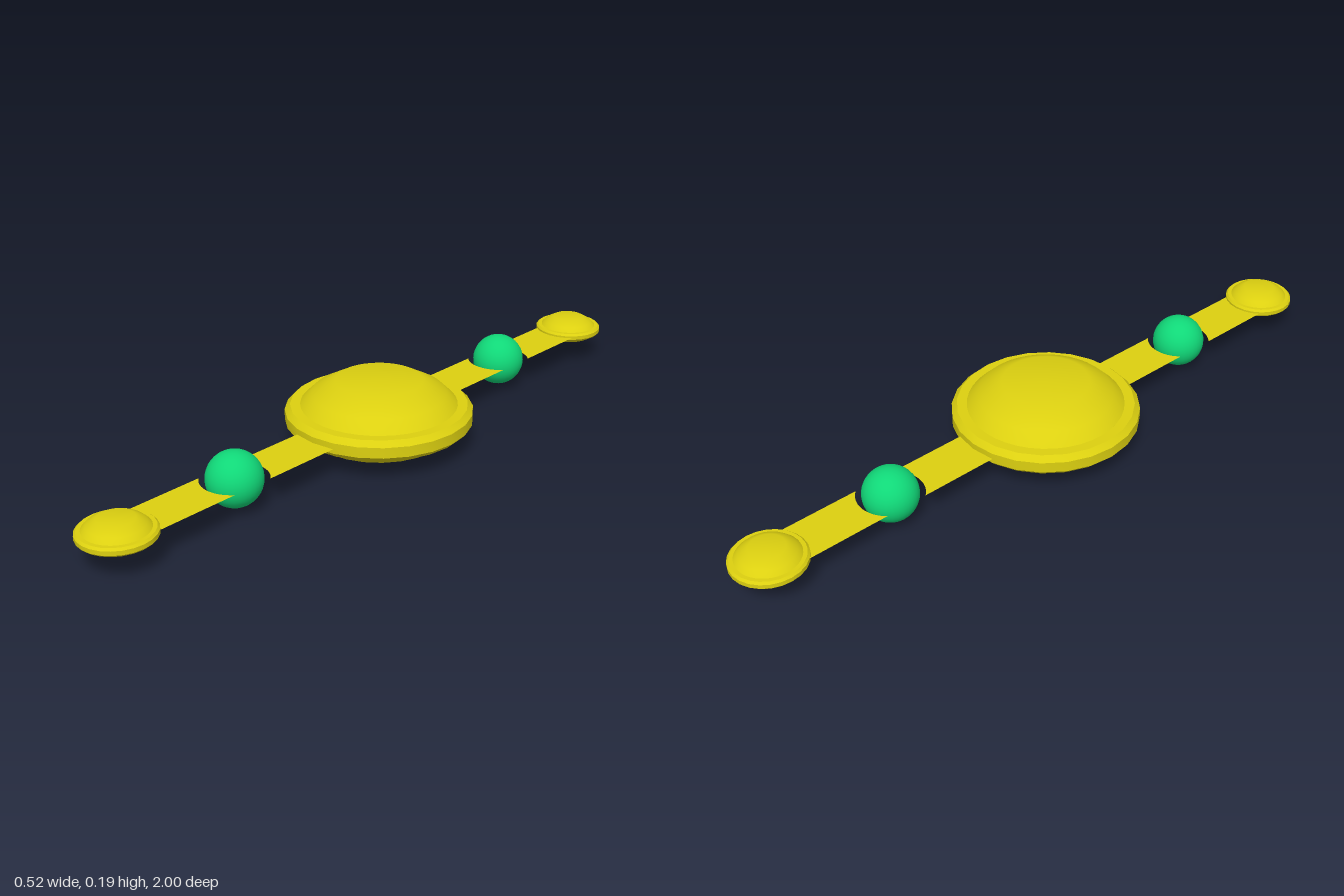
import * as THREE from 'three';
import { toCreasedNormals } from 'three/addons/utils/BufferGeometryUtils.js';

const mat = (color) => new THREE.MeshStandardMaterial({ color, side: THREE.DoubleSide });
const yellow = mat(0xdcd010);
const green = mat(0x10d878);
const teal = mat(0x0a8088);

const MID = 0.09; // height of the band
const SPHERE_Z = 0.535;

function add(parent, name, geometry, material) {
  const mesh = new THREE.Mesh(geometry, material);
  mesh.name = name;
  parent.add(mesh);
  return mesh;
}

function lathe(points, segments) {
  return new THREE.LatheGeometry(points.map(([r, y]) => new THREE.Vector2(r, y)), segments);
}

// Domed disc, hollow underneath, with a pointed cone; y = 0 is the band level
function createDisc(name) {
  const disc = new THREE.Group();
  disc.name = name;
  const rim = lathe([
    [0.095, 0], [0.15, 0], [0.185, -0.06], [0.19, -0.06], [0.22, -0.028],
    [0.245, -0.028], [0.26, -0.013], [0.26, 0.017], [0.245, 0.032], [0.217, 0.032],
  ], 24);
  add(disc, 'rim', toCreasedNormals(rim, 0.45), yellow);
  add(disc, 'dome', lathe([[0.217, 0.032], [0.185, 0.064], [0.12, 0.1], [0, 0.1]], 40), yellow);
  const cone = add(disc, 'cone', new THREE.ConeGeometry(0.09, 0.09, 32), teal);
  cone.rotation.x = Math.PI;
  cone.position.y = -0.045;
  return disc;
}

// Flat strip from z = start to the sphere, its end cut round the sphere
function createStrip(start) {
  const half = 0.067, gap = 0.09;
  const side = Math.sign(start - SPHERE_Z);
  const shape = new THREE.Shape();
  shape.moveTo(-half, start);
  shape.lineTo(half, start);
  const a = Math.acos(half / gap) * side;
  shape.absarc(0, SPHERE_Z, gap, a, side * Math.PI - a, side < 0);
  shape.closePath();
  return new THREE.ShapeGeometry(shape, 16).rotateX(Math.PI / 2);
}

export function createModel() {
  const model = new THREE.Group();
  model.name = 'discBand';

  const main = createDisc('mainDisc');
  main.position.y = MID;
  model.add(main);

  // Two mirrored arms: strip, sphere, strip, small disc
  for (const [name, turn] of [['frontArm', 0], ['backArm', Math.PI]]) {
    const arm = new THREE.Group();
    arm.name = name;
    arm.position.y = MID;
    arm.rotation.y = turn;
    add(arm, 'innerStrip', createStrip(0.2), yellow);
    add(arm, 'outerStrip', createStrip(0.83), yellow);
    add(arm, 'sphere', new THREE.SphereGeometry(0.075, 32, 20), green).position.z = SPHERE_Z;
    const small = createDisc('endDisc');
    small.scale.setScalar(0.385);
    small.position.set(0, -0.001, 0.9);
    arm.add(small);
    model.add(arm);
  }
  return model;
}
